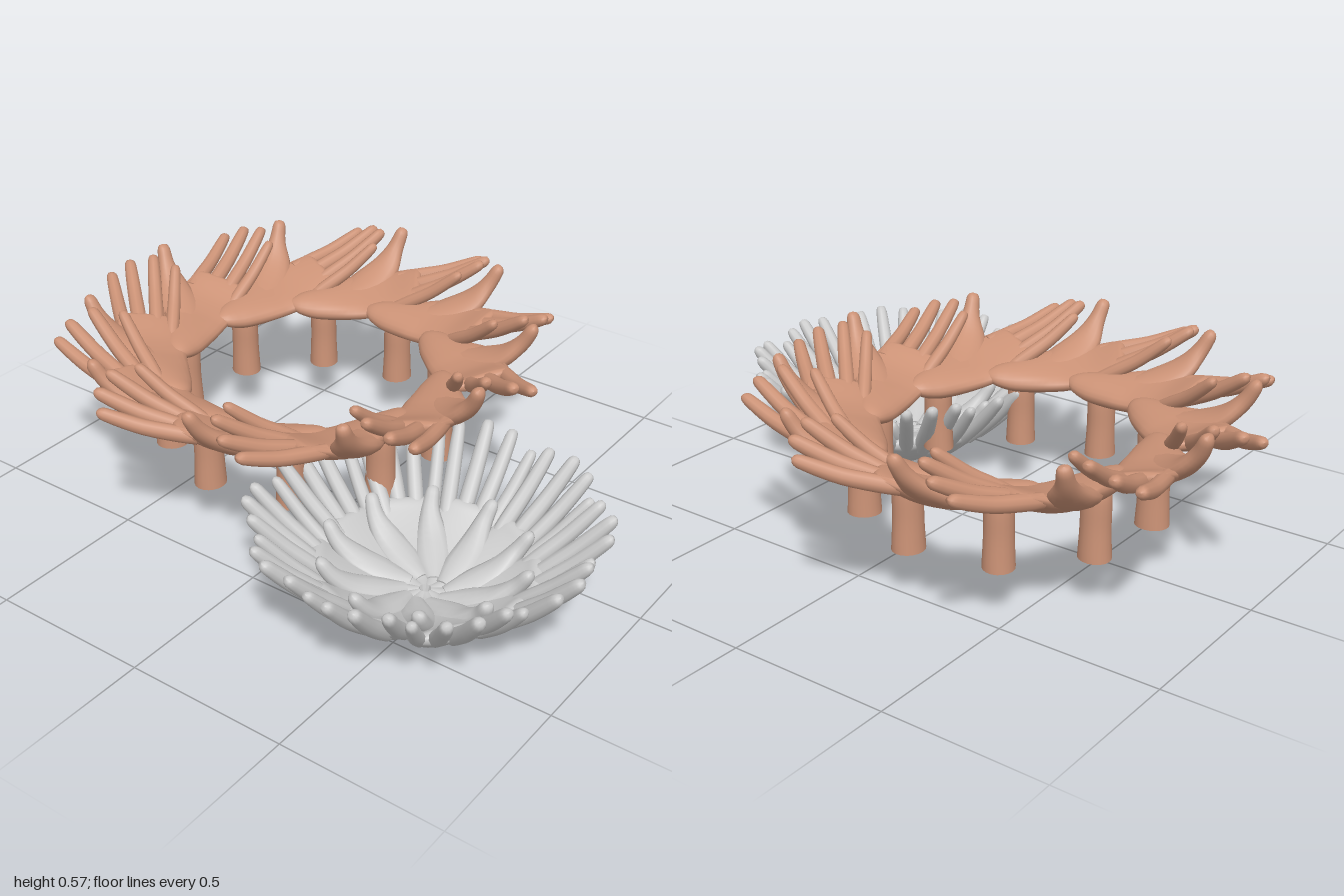
import * as THREE from 'three';

const V = (a) => new THREE.Vector3(a[0], a[1], a[2]);

// Smooth limb: elliptical sections swept along a spline. Each station is
// [x, y, z, halfWidth, halfThickness, cup]; the far end is rounded off, the near end is flat.
function limb(stations, side, rings = 16, sides = 14) {
  const path = new THREE.CatmullRomCurve3(stations.map(V));
  const size = new THREE.CatmullRomCurve3(
    stations.map((s) => new THREE.Vector3(s[3], s[4] ?? s[3], s[5] ?? 0)), false, 'catmullrom', 0.5);
  const last = stations[stations.length - 1];
  const round = Math.min(0.45, 1.56 * (last[4] ?? last[3]) / path.getLength());
  const steps = [[0, 0], [0, 1]];
  for (let i = 0; i <= rings; i++) {
    const u = 1 - (1 - i / rings) ** 1.6;
    const k = Math.max(0, (u - 1 + round) / round);
    steps.push([u, Math.sqrt(Math.max(0, 1 - k * k))]);
  }
  const pos = [], idx = [];
  steps.forEach(([u, scale], i) => {
    const p = path.getPoint(u), r = size.getPoint(u), t = path.getTangent(u);
    const s = V(side).addScaledVector(t, -V(side).dot(t)).normalize();
    const n = t.clone().cross(s);
    for (let j = 0; j < sides; j++) {
      const a = (j / sides) * Math.PI * 2, c = Math.cos(a);
      const q = p.clone()
        .addScaledVector(s, r.x * c * (scale > 0 ? 0.4 + 0.6 * scale : 0))
        .addScaledVector(n, r.y * Math.sin(a) * scale + r.z * c * c);
      pos.push(q.x, q.y, q.z);
      if (i < steps.length - 1) {
        const a0 = i * sides + j, b0 = i * sides + (j + 1) % sides;
        idx.push(a0, b0, a0 + sides, b0, b0 + sides, a0 + sides);
      }
    }
  });
  const g = new THREE.BufferGeometry();
  g.setAttribute('position', new THREE.Float32BufferAttribute(pos, 3));
  g.setIndex(idx);
  g.computeVertexNormals();
  return g;
}

// Finger from knuckle to tip, with a slight bend
function finger(base, tip, r, bend, side) {
  const at = (k, lift, rad) => [
    base[0] + (tip[0] - base[0]) * k,
    base[1] + (tip[1] - base[1]) * k + lift,
    base[2] + (tip[2] - base[2]) * k, rad];
  return limb([at(-0.18, 0, r * 0.95), at(0.1, -bend * 0.5, r * 1.05), at(0.45, -bend, r),
    at(0.75, -bend * 0.6, r * 0.92), at(1, 0, r * 0.75)], side, 14, 10);
}

// Copies of one hand, placed evenly about a vertical axis
function ringOfHands(name, parts, count, phase, x, z, material) {
  const ring = new THREE.Group();
  ring.name = name;
  ring.position.set(x, 0, z);
  for (let i = 0; i < count; i++) {
    const hand = new THREE.Group();
    hand.name = 'hand';
    hand.rotation.y = -THREE.MathUtils.degToRad(phase + (360 / count) * i);
    for (const [partName, geometry] of parts) {
      const mesh = new THREE.Mesh(geometry, material);
      mesh.name = partName;
      hand.add(mesh);
    }
    ring.add(hand);
  }
  return ring;
}

const fingerNames = ['indexFinger', 'middleFinger', 'ringFinger', 'littleFinger'];

// Local axes for both hands: x points away from the ring centre, z runs around it
function standingHand() {
  const side = [1, 0.25, 0];
  const parts = [];
  // Upright stub under the heel of the hand
  parts.push(['forearm', limb([
    [0.437, 0.155, 0, 0.051, 0.047],
    [0.437, 0.25, 0, 0.046, 0.043],
    [0.437, 0.33, 0, 0.047, 0.042],
    [0.437, 0.385, 0, 0.042, 0.036],
  ], [1, 0, 0], 14, 18)]);
  // Palm tilted towards the ring centre, its heel melting into the hand behind
  parts.push(['palm', limb([
    [0.412, 0.385, -0.115, 0.008, 0.006, 0],
    [0.415, 0.38, -0.085, 0.038, 0.024, 0],
    [0.426, 0.374, -0.04, 0.06, 0.035, 0.002],
    [0.438, 0.372, 0.015, 0.075, 0.039, 0.006],
    [0.453, 0.374, 0.075, 0.093, 0.038, 0.011],
    [0.47, 0.379, 0.14, 0.11, 0.035, 0.016],
    [0.474, 0.394, 0.22, 0.106, 0.03, 0.013],
    [0.468, 0.425, 0.295, 0.098, 0.023, 0.006],
    [0.466, 0.44, 0.327, 0.09, 0.018, 0.002],
  ], side, 32, 20)]);
  const knuckles = [[0.546, 0.44, 0.29], [0.492, 0.435, 0.31], [0.437, 0.424, 0.305], [0.39, 0.414, 0.28]];
  const tips = [[0.557, 0.505, 0.53], [0.492, 0.535, 0.55], [0.415, 0.556, 0.53], [0.35, 0.545, 0.46]];
  knuckles.forEach((k, i) => parts.push([fingerNames[i],
    finger(k, tips[i], [0.023, 0.024, 0.023, 0.021][i], 0.012, side)]));
  parts.push(['thumb', limb([
    [0.46, 0.375, 0.06, 0.06, 0.034],
    [0.525, 0.402, 0.14, 0.072, 0.034],
    [0.58, 0.446, 0.195, 0.054, 0.028],
    [0.623, 0.502, 0.228, 0.029, 0.024],
    [0.65, 0.567, 0.255, 0.02, 0.019],
  ], [0.4, 0, -1], 18, 14)]);
  return parts;
}

function bowlHand() {
  const side = [0, 0.2, -1];
  const parts = [['palm', limb([
    [0.012, 0.045, 0, 0.02, 0.02, 0],
    [0.06, 0.033, 0, 0.038, 0.033, 0],
    [0.14, 0.044, 0, 0.07, 0.036, 0.01],
    [0.21, 0.072, 0, 0.09, 0.034, 0.014],
    [0.28, 0.117, 0, 0.094, 0.027, 0.008],
    [0.325, 0.157, 0, 0.086, 0.02, 0.002],
  ], side, 24, 18)]];
  const knuckles = [[0.297, 0.15, -0.073], [0.32, 0.147, -0.026], [0.317, 0.142, 0.026], [0.293, 0.126, 0.071]];
  const tips = [[0.475, 0.332, -0.122], [0.51, 0.338, -0.042], [0.505, 0.33, 0.04], [0.46, 0.305, 0.122]];
  knuckles.forEach((k, i) => parts.push([fingerNames[i],
    finger(k, tips[i], [0.023, 0.024, 0.023, 0.021][i], 0.01, side)]));
  // Thumb mound swelling off the heel, its tip resting along the inside of the bowl
  parts.push(['thumb', limb([
    [0.06, 0.045, 0, 0.03, 0.026],
    [0.13, 0.065, -0.035, 0.054, 0.032],
    [0.195, 0.1, -0.075, 0.046, 0.029],
    [0.245, 0.15, -0.105, 0.028, 0.024],
    [0.285, 0.21, -0.115, 0.019, 0.018],
  ], side, 16, 12)]);
  return parts;
}

export function createModel() {
  const model = new THREE.Group();
  model.name = 'handBowls';
  const skin = new THREE.MeshStandardMaterial({ color: 0xcb9276 });
  const grey = new THREE.MeshStandardMaterial({ color: 0xcccccc });
  model.add(ringOfHands('standingHandRing', standingHand(), 10, 5, 0.075, -0.235, skin));
  model.add(ringOfHands('handBowl', bowlHand(), 10, 28, -0.315, 0.48, grey));
  return model;
}
